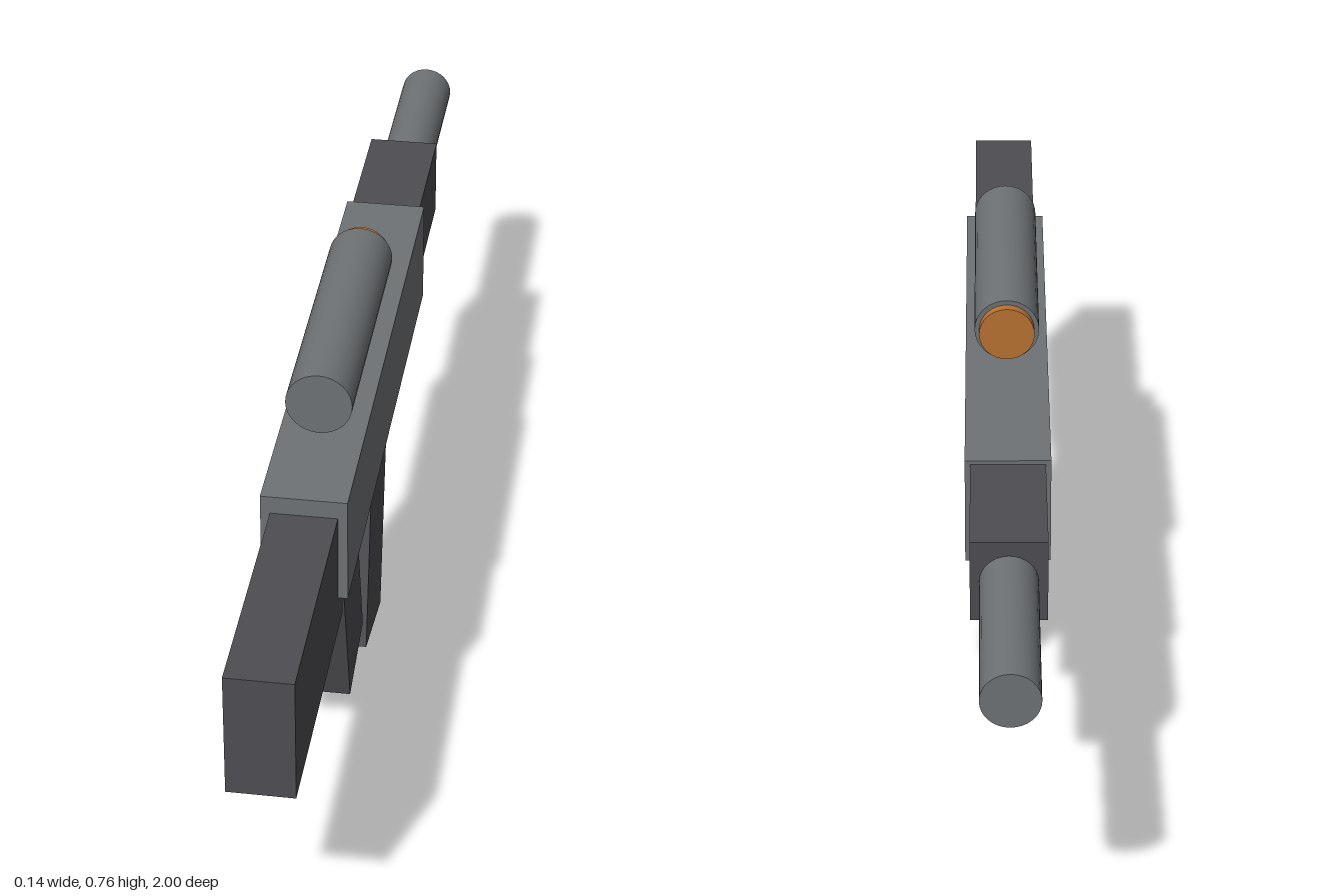
import * as THREE from 'three';

export function createModel() {
  const group = new THREE.Group();
  const material = (name, color) => {
    const m = new THREE.MeshStandardMaterial({ color });
    m.name = name;
    return m;
  };
  const steel = material('steel grey', 0x6f7376);
  const dark = material('dark grey', 0x4e4d52);
  const copper = material('copper', 0xb87333);

  const add = (name, geometry, mat, y, z, tilt = 0) => {
    const mesh = new THREE.Mesh(geometry, mat);
    mesh.name = name;
    mesh.position.set(0, y, z);
    mesh.rotation.x = tilt;
    group.add(mesh);
  };
  // Box spanning y0..y1 and z0..z1
  const block = (name, mat, width, y0, y1, z0, z1) =>
    add(name, new THREE.BoxGeometry(width, y1 - y0, z1 - z0), mat, (y0 + y1) / 2, (z0 + z1) / 2);
  // Cylinder lying along z
  const tube = (name, mat, radius, y, z0, z1) =>
    add(name, new THREE.CylinderGeometry(radius, radius, z1 - z0, 32).rotateX(Math.PI / 2), mat, y, (z0 + z1) / 2);

  // Body, from rear stock to muzzle
  block('stock', dark, 0.112, 0.37, 0.595, 0.52, 1);
  block('receiver', steel, 0.144, 0.435, 0.627, -0.398, 0.565);
  block('handguard', dark, 0.126, 0.475, 0.62, -0.653, -0.37);
  tube('barrel', steel, 0.048, 0.547, -1, -0.64);

  // Scope with its front lens
  tube('scope', steel, 0.056, 0.707, -0.075, 0.405);
  tube('lens', copper, 0.048, 0.707, -0.093, -0.06);

  // Tilted grip and magazine
  add('grip', new THREE.BoxGeometry(0.096, 0.314, 0.16), dark, 0.257, 0.342, 0.255);
  add('magazine', new THREE.BoxGeometry(0.096, 0.386, 0.19), dark, 0.208, 0.051, -0.196);

  return group;
}
